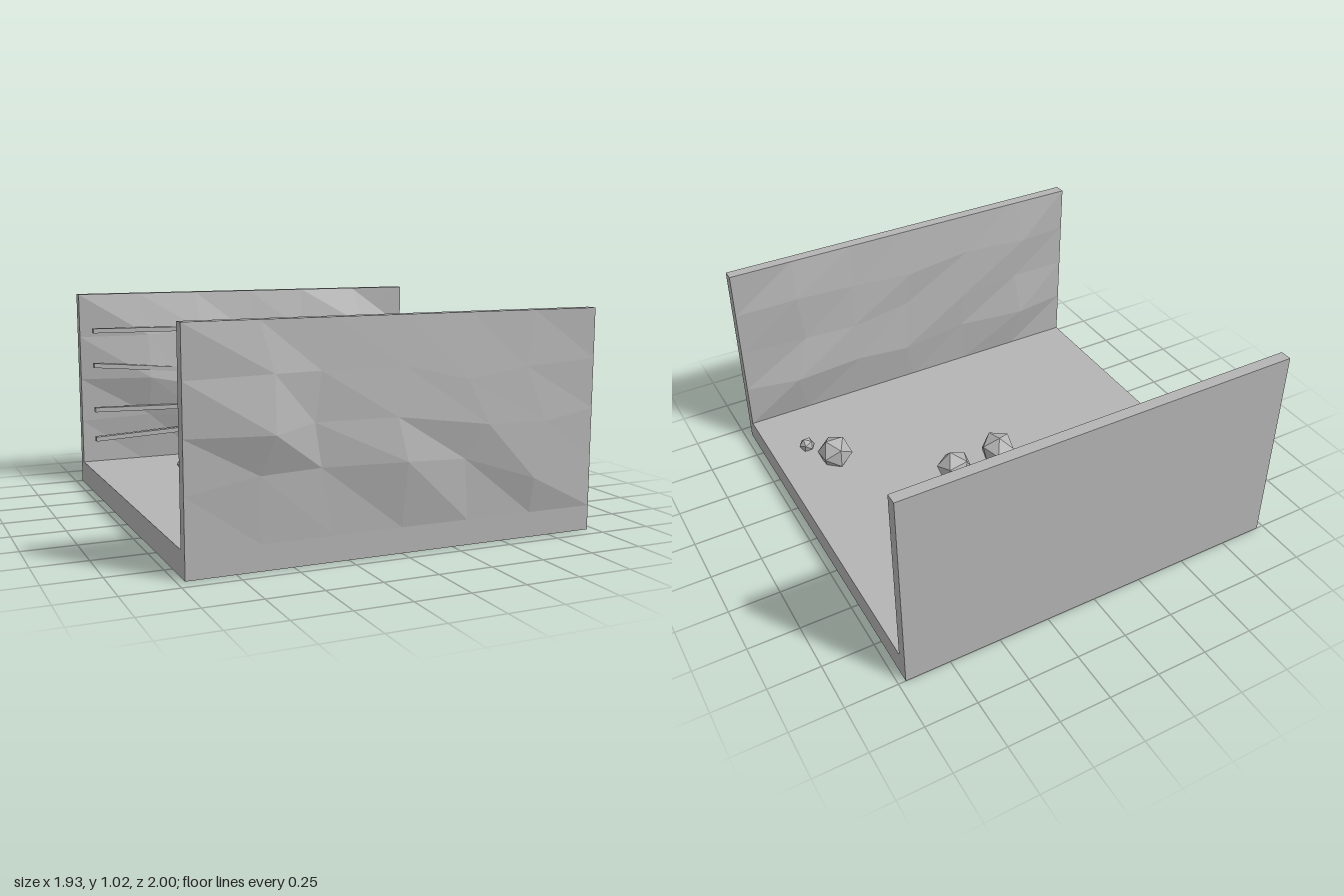
import * as THREE from 'three';

const HALF_W = 0.965, FLOOR = 0.115, TOP = 1.025;
const stone = new THREE.MeshStandardMaterial({ color: 0xb4b4b4, flatShading: true });
stone.name = 'grey stone';

function add(parent, name, geometry, x = 0, y = 0, z = 0) {
  const mesh = new THREE.Mesh(geometry, stone);
  mesh.name = name;
  mesh.position.set(x, y, z);
  parent.add(mesh);
  return mesh;
}

// Faceted sheet: a 7 x 5 grid with a flat border and 15 inner points [x, y, bulge]
function reliefGeometry(inner, z, dir) {
  const pos = [], index = [], cols = 6, rows = 4;
  for (let r = 0; r <= rows; r++) {
    for (let c = 0; c <= cols; c++) {
      if (r % rows === 0 || c % cols === 0) {
        pos.push(-HALF_W + 2 * HALF_W * c / cols, TOP - (TOP - FLOOR) * r / rows, z);
      } else {
        const [x, y, bulge] = inner[r - 1][c - 1];
        pos.push(x, y, z + dir * bulge);
      }
    }
  }
  for (let r = 0; r < rows; r++) {
    for (let c = 0; c < cols; c++) {
      const a = r * (cols + 1) + c, b = a + 1, d = a + cols + 1, e = d + 1;
      if (dir > 0) index.push(a, d, e, a, e, b);
      else index.push(a, e, d, a, b, e);
    }
  }
  const g = new THREE.BufferGeometry();
  g.setAttribute('position', new THREE.Float32BufferAttribute(pos, 3));
  g.setIndex(index);
  const flat = g.toNonIndexed();
  flat.computeVertexNormals();
  return flat;
}

// Bent strip following five heights along the wall
function railGeometry(heights) {
  const xs = [-0.91, -0.455, 0, 0.455, 0.905], t = 0.012;
  const shape = new THREE.Shape();
  xs.forEach((x, i) => (i ? shape.lineTo(x, heights[i] + t) : shape.moveTo(x, heights[i] + t)));
  for (let i = xs.length - 1; i >= 0; i--) shape.lineTo(xs[i], heights[i] - t);
  return new THREE.ExtrudeGeometry(shape, { depth: 0.033, bevelEnabled: false });
}

export function createModel() {
  const model = new THREE.Group();
  model.name = 'canyonSection';

  // Floor and the two walls
  const wallH = TOP - FLOOR, wallY = (TOP + FLOOR) / 2;
  add(model, 'floor', new THREE.BoxGeometry(2 * HALF_W, FLOOR, 1.93), 0, FLOOR / 2, -0.035);
  add(model, 'backWall', new THREE.BoxGeometry(2 * HALF_W, wallH, 0.055), 0, wallY, -0.9725);
  add(model, 'frontWall', new THREE.BoxGeometry(2 * HALF_W, wallH, 0.055), 0, wallY, 0.9025);

  // Rough rock faces
  add(model, 'frontWallOuterFace', reliefGeometry([
    [[-0.59, 0.81, 0.03], [-0.38, 0.81, 0.01], [0, 0.81, 0.015], [0.3, 0.74, 0.025], [0.6, 0.78, 0.015]],
    [[-0.6, 0.57, 0.07], [-0.41, 0.6, 0.01], [-0.04, 0.6, 0.03], [0.4, 0.54, 0.035], [0.7, 0.53, 0.025]],
    [[-0.65, 0.4, 0.015], [-0.38, 0.41, 0.01], [0, 0.41, 0.05], [0.3, 0.39, 0.005], [0.64, 0.28, 0.035]],
  ], 0.93, 1));
  add(model, 'frontWallInnerFace', reliefGeometry([
    [[-0.7, 0.8, 0.03], [-0.35, 0.82, 0.02], [0, 0.78, 0.025], [0.33, 0.8, 0.02], [0.65, 0.82, 0.03]],
    [[-0.65, 0.58, 0.02], [-0.3, 0.55, 0.035], [0.03, 0.6, 0.015], [0.35, 0.56, 0.03], [0.62, 0.57, 0.025]],
    [[-0.68, 0.34, 0.04], [-0.3, 0.36, 0.02], [0.05, 0.32, 0.03], [0.33, 0.35, 0.035], [0.7, 0.34, 0.052]],
  ], 0.875, -1));
  add(model, 'backWallFace', reliefGeometry([
    [[-0.6, 0.8, 0.045], [-0.3, 0.82, 0.05], [0, 0.78, 0.04], [0.3, 0.8, 0.045], [0.69, 0.81, 0.08]],
    [[-0.6, 0.57, 0.08], [-0.4, 0.53, 0.088], [0, 0.58, 0.04], [0.3, 0.56, 0.055], [0.65, 0.57, 0.055]],
    [[-0.6, 0.36, 0.03], [-0.3, 0.34, 0.06], [0, 0.35, 0.06], [0.35, 0.33, 0.05], [0.65, 0.35, 0.045]],
  ], -0.945, 1));

  // Strata ledges along the back wall
  [
    [0.835, 0.83, 0.79, 0.825, 0.83],
    [0.65, 0.61, 0.61, 0.68, 0.63],
    [0.41, 0.40, 0.43, 0.42, 0.40],
    [0.25, 0.27, 0.235, 0.24, 0.245],
  ].forEach((h, i) => add(model, 'ledge' + (i + 1), railGeometry(h), 0, 0, -0.896));

  // Boulders half sunk in the floor: x, z, radius
  const boulders = new THREE.Group();
  boulders.name = 'boulders';
  [
    [-0.5, -0.545, 0.058], [0.15, -0.51, 0.068], [0.12, -0.395, 0.09], [0.555, -0.58, 0.052],
    [0.61, -0.465, 0.045], [-0.3, -0.255, 0.054], [-0.055, 0, 0.092], [0.21, -0.03, 0.094],
    [0.69, 0.385, 0.09], [0.785, 0.54, 0.04],
  ].forEach(([x, z, r], i) => {
    const rock = add(boulders, 'boulder' + (i + 1), new THREE.IcosahedronGeometry(r, 0), x, FLOOR + 0.5 * r, z);
    rock.rotation.set(i * 1.3, i * 2.1 + 0.4, i * 0.7);
  });
  model.add(boulders);

  return model;
}
